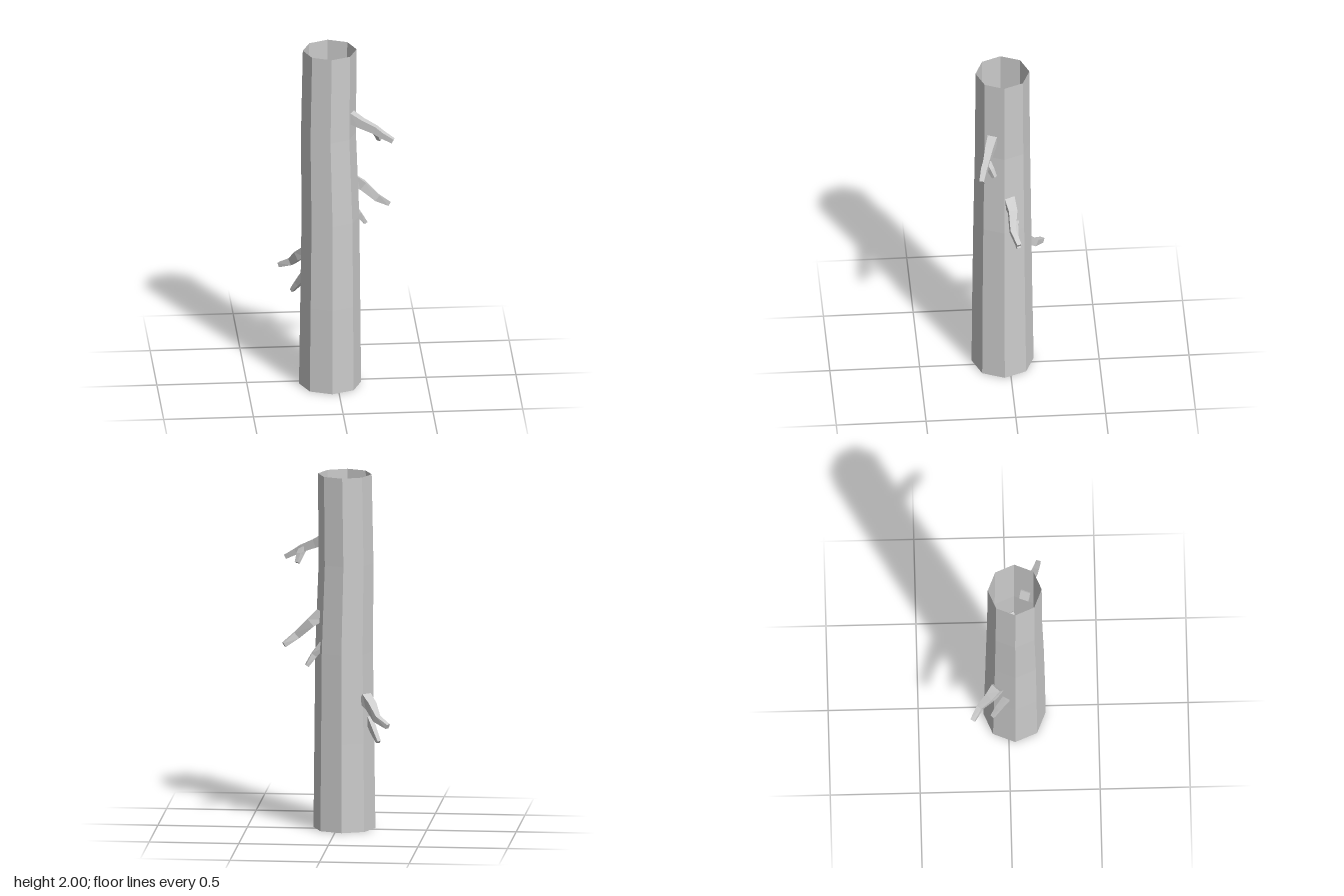
import * as THREE from 'three';

const bark = new THREE.MeshStandardMaterial({ color: 0xcccccc, flatShading: true, side: THREE.DoubleSide });

// Trunk rings from bottom to top: [centre x, centre z, radius]
const rings = [
  [-0.038, 0.035, 0.173],
  [-0.037, 0.037, 0.167],
  [-0.036, 0.037, 0.161],
  [-0.047, 0.035, 0.153],
  [-0.04, 0.036, 0.15],
];

// Hollow, slightly bent eight-sided tube
function trunkGeometry() {
  const geo = new THREE.CylinderGeometry(1, 1, 2, 8, rings.length - 1, true);
  geo.translate(0, 1, 0);
  const p = geo.attributes.position;
  for (let i = 0; i < p.count; i++) {
    const [cx, cz, r] = rings[Math.round(p.getY(i) * 2)];
    p.setX(i, cx + p.getX(i) * r);
    p.setZ(i, cz + p.getZ(i) * r);
  }
  geo.computeVertexNormals();
  return geo;
}

// Four-sided tapering limb; each station is [x, y, z, width, thickness]
function limbGeometry(stations) {
  const pts = stations.map(([x, y, z]) => new THREE.Vector3(x, y, z));
  const up = new THREE.Vector3(0, 1, 0);
  const verts = [];
  const index = [];
  const last = pts.length - 1;
  pts.forEach((p, k) => {
    const t = pts[Math.min(k + 1, last)].clone().sub(pts[Math.max(k - 1, 0)]).normalize();
    const side = up.clone().cross(t).normalize();
    const top = t.clone().cross(side);
    const [w, h] = stations[k].slice(3);
    for (const [a, b] of [[1, 1], [-1, 1], [-1, -1], [1, -1]]) {
      const v = p.clone().addScaledVector(side, a * w / 2).addScaledVector(top, b * h / 2);
      verts.push(v.x, v.y, v.z);
    }
    if (k === last) return;
    for (let i = 0; i < 4; i++) {
      const a = k * 4 + i, b = k * 4 + (i + 1) % 4;
      index.push(a, b, b + 4, a, b + 4, a + 4);
    }
  });
  const e = last * 4;
  index.push(0, 2, 1, 0, 3, 2, e, e + 1, e + 2, e, e + 2, e + 3);
  const geo = new THREE.BufferGeometry();
  geo.setAttribute('position', new THREE.Float32BufferAttribute(verts, 3));
  geo.setIndex(index);
  geo.computeVertexNormals();
  return geo;
}

const limbs = {
  upperBranch: [
    [0.06, 1.625, 0.093, 0.055, 0.065],
    [0.13, 1.59, 0.12, 0.045, 0.05],
    [0.205, 1.557, 0.142, 0.035, 0.042],
    [0.24, 1.535, 0.157, 0.034, 0.035],
    [0.303, 1.5, 0.175, 0.026, 0.026],
  ],
  upperTwig: [
    [0.2, 1.56, 0.138, 0.032, 0.032],
    [0.218, 1.525, 0.12, 0.03, 0.03],
    [0.232, 1.48, 0.1, 0.022, 0.02],
  ],
  middleBranch: [
    [0.085, 1.21, 0.012, 0.06, 0.06],
    [0.145, 1.165, -0.008, 0.048, 0.05],
    [0.225, 1.09, -0.002, 0.03, 0.04],
    [0.293, 1.04, -0.032, 0.026, 0.026],
  ],
  middleTwig: [
    [0.075, 1.05, -0.03, 0.034, 0.04],
    [0.125, 0.985, -0.026, 0.028, 0.034],
    [0.165, 0.925, -0.04, 0.022, 0.02],
  ],
  lowerBranch: [
    [-0.16, 0.755, -0.06, 0.06, 0.06],
    [-0.2, 0.715, -0.1, 0.05, 0.05],
    [-0.238, 0.655, -0.16, 0.032, 0.04],
    [-0.303, 0.62, -0.203, 0.026, 0.026],
  ],
  lowerTwig: [
    [-0.178, 0.63, -0.01, 0.034, 0.04],
    [-0.21, 0.565, -0.055, 0.028, 0.034],
    [-0.24, 0.51, -0.09, 0.022, 0.02],
  ],
};

export function createModel() {
  const group = new THREE.Group();
  const add = (name, geo) => {
    const mesh = new THREE.Mesh(geo, bark);
    mesh.name = name;
    group.add(mesh);
  };
  add('trunk', trunkGeometry());
  for (const [name, stations] of Object.entries(limbs)) add(name, limbGeometry(stations));
  return group;
}
